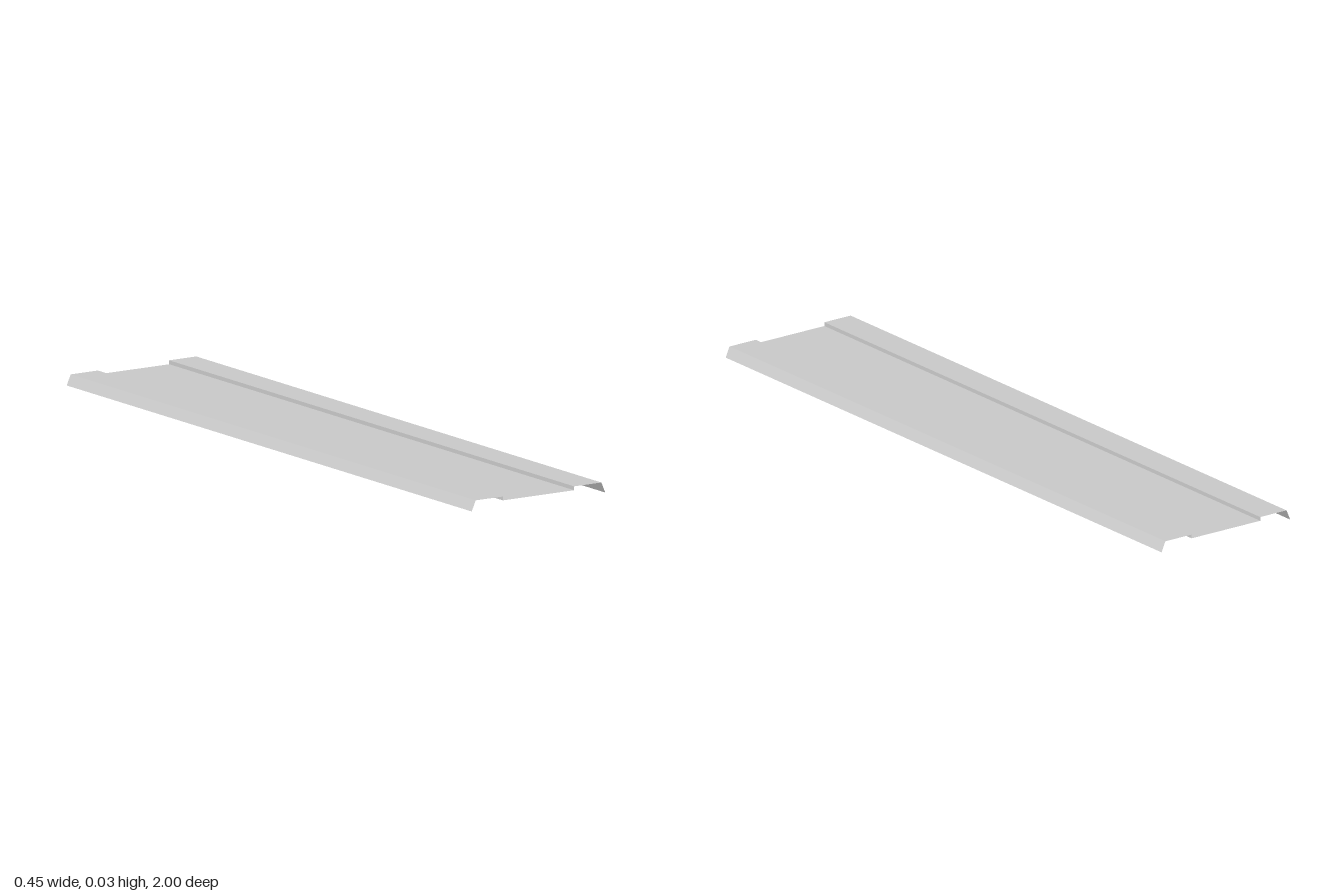
import * as THREE from 'three';

const HALF_LENGTH = 1;

// Half of the folded cross-section [x, y], from the outer lip to the inner step
const half = [[0.223, 0], [0.21, 0.03], [0.119, 0.03], [0.119, 0.019]];

// One flat strip between two profile points, running the full length
function strip(name, [x0, y0], [x1, y1], material) {
  const geometry = new THREE.BufferGeometry();
  const L = HALF_LENGTH;
  geometry.setAttribute('position', new THREE.Float32BufferAttribute(
    [x0, y0, L, x1, y1, L, x1, y1, -L, x0, y0, -L], 3));
  geometry.setIndex([0, 1, 2, 0, 2, 3]);
  geometry.computeVertexNormals();
  const mesh = new THREE.Mesh(geometry, material);
  mesh.name = name;
  return mesh;
}

export function createModel() {
  const group = new THREE.Group();
  group.name = 'foldedSheetPanel';
  const material = new THREE.MeshStandardMaterial({ color: 0xcccccc, side: THREE.DoubleSide });

  // Full profile, ordered from -x to +x so that normals face up and out
  const mirrored = half.map(([x, y]) => [-x, y]);
  const profile = [...mirrored, ...half.slice().reverse()];
  const names = ['rightLip', 'rightFlange', 'rightStep', 'recessedPanel',
    'leftStep', 'leftFlange', 'leftLip'];
  names.forEach((name, i) => group.add(strip(name, profile[i], profile[i + 1], material)));
  return group;
}
